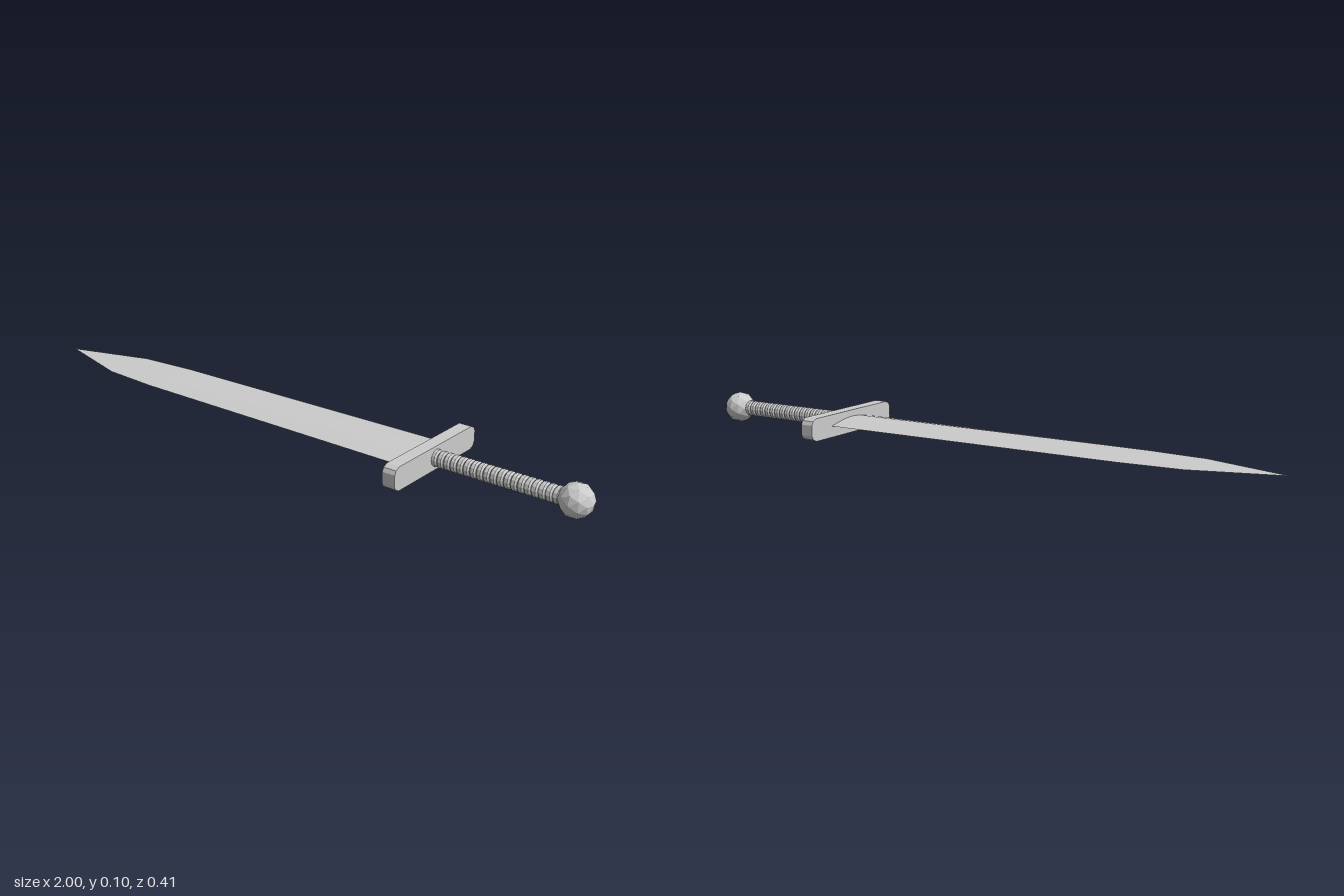
import * as THREE from 'three';

const MID = 0.053; // height of the sword's long axis

function part(name, geometry) {
  const material = new THREE.MeshStandardMaterial({ color: 0xcccccc, flatShading: true });
  const mesh = new THREE.Mesh(geometry, material);
  mesh.name = name;
  return mesh;
}

// Faceted lens section lofted along x and closed to a point at the tip
function bladeGeometry() {
  // x, half width, half thickness
  const stations = [
    [0.47, 0.109, 0.016],
    [-0.54, 0.097, 0.008],
    [-0.73, 0.083, 0.005],
    [-1, 0, 0],
  ];
  // z and y as fractions of half width and half thickness
  const section = [[1, 0], [0.35, 0.85], [0, 1], [-0.35, 0.85], [-1, 0], [-0.35, -0.85], [0, -1], [0.35, -0.85]];
  const n = section.length;
  const positions = [], index = [];
  for (const [x, w, t] of stations) {
    for (const [z, y] of section) positions.push(x, y * t, z * w);
  }
  for (let s = 0; s < stations.length - 1; s++) {
    for (let i = 0; i < n; i++) {
      const a = s * n + i, b = s * n + (i + 1) % n, c = a + n, d = b + n;
      index.push(a, b, c);
      if (s < stations.length - 2) index.push(b, d, c);
    }
  }
  for (let i = 1; i < n - 1; i++) index.push(0, i + 1, i);
  const geometry = new THREE.BufferGeometry();
  geometry.setAttribute('position', new THREE.Float32BufferAttribute(positions, 3));
  geometry.setIndex(index);
  geometry.computeVertexNormals();
  return geometry;
}

// Bar with chamfered ends, extruded along x
function guardGeometry() {
  const corner = [[0.206, 0.017], [0.2, 0.029], [0.185, 0.0365]];
  const mirrored = [...corner].reverse();
  const outline = [
    ...corner,
    ...mirrored.map(([z, y]) => [-z, y]),
    ...corner.map(([z, y]) => [-z, -y]),
    ...mirrored.map(([z, y]) => [z, -y]),
  ].map(([z, y]) => new THREE.Vector2(z, y));
  const geometry = new THREE.ExtrudeGeometry(new THREE.Shape(outline), { depth: 0.042, bevelEnabled: false });
  return geometry.rotateY(Math.PI / 2).translate(0.465, 0, 0);
}

// Row of raised rings, turned about x
function gripGeometry() {
  const rings = 19, start = 0.5, pitch = 0.0215;
  const profile = [];
  for (let i = 0; i < rings; i++) {
    for (const [f, r] of [[0, 0.021], [0.25, 0.026], [0.75, 0.026]]) {
      profile.push(new THREE.Vector2(r, start + (i + f) * pitch));
    }
  }
  profile.push(new THREE.Vector2(0.021, start + rings * pitch));
  return new THREE.LatheGeometry(profile, 12).rotateZ(-Math.PI / 2);
}

export function createModel() {
  const sword = new THREE.Group();
  sword.name = 'sword';

  const pommel = part('pommel', new THREE.IcosahedronGeometry(0.0515, 1));
  pommel.position.x = 0.949;

  sword.add(
    part('blade', bladeGeometry()),
    part('crossguard', guardGeometry()),
    part('grip', gripGeometry()),
    pommel,
  );
  for (const child of sword.children) child.position.y = MID;
  return sword;
}
